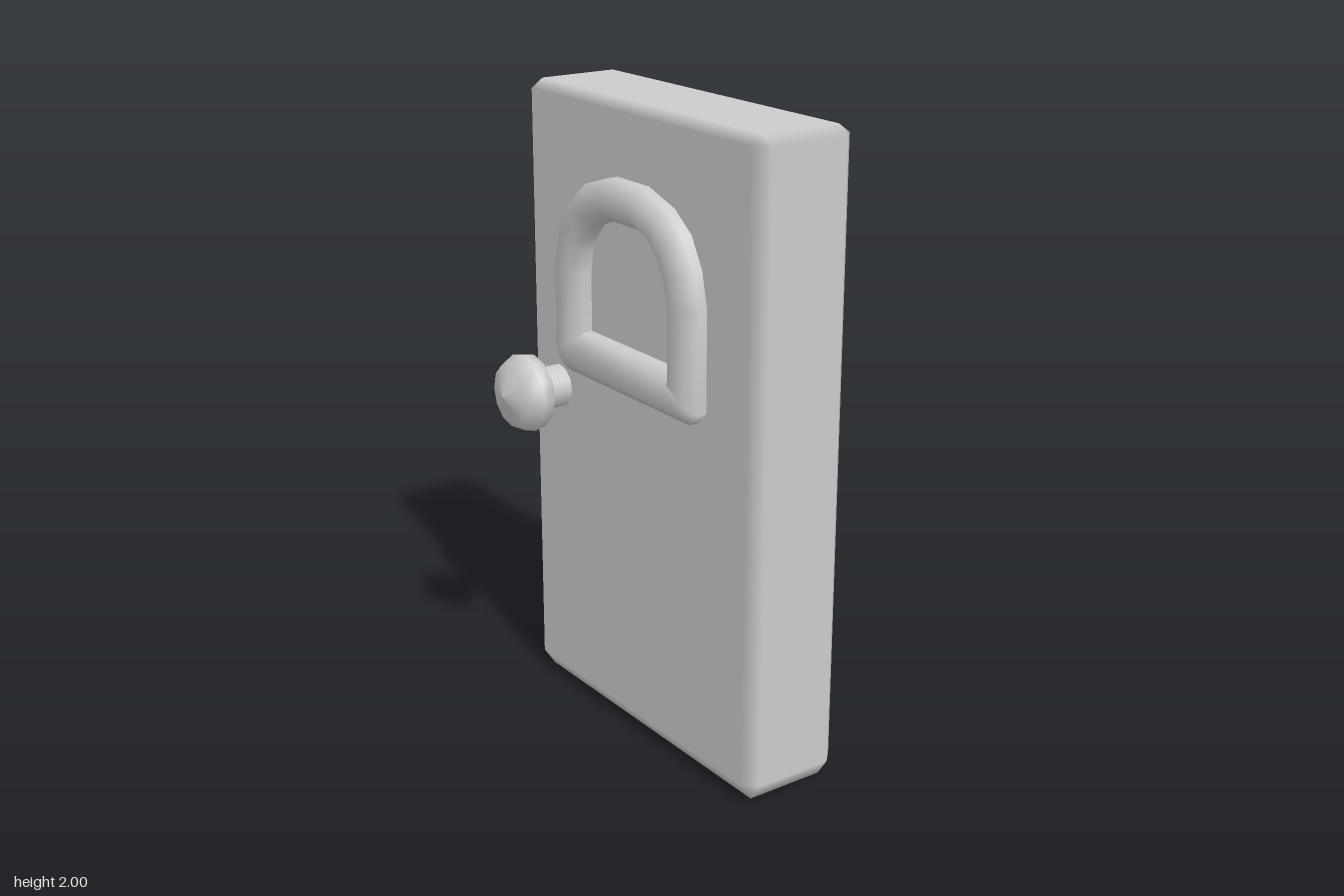
import * as THREE from 'three';

const material = new THREE.MeshStandardMaterial({ color: 0xcccccc });

// Skins rings of [x, y, z] points; wrap joins the last ring to the first, otherwise the ends are capped.
function loft(rings, wrap) {
  const n = rings[0].length, m = rings.length, index = [];
  for (let j = 0; j < (wrap ? m : m - 1); j++) {
    for (let i = 0; i < n; i++) {
      const a = j * n + i, b = j * n + (i + 1) % n;
      const d = ((j + 1) % m) * n + i, c = ((j + 1) % m) * n + (i + 1) % n;
      index.push(a, b, d, b, c, d);
    }
  }
  if (!wrap) {
    const last = (m - 1) * n;
    for (let i = 1; i < n - 1; i++) {
      index.push(0, i + 1, i, last, last + i, last + i + 1);
    }
  }
  const geometry = new THREE.BufferGeometry();
  geometry.setAttribute('position', new THREE.Float32BufferAttribute(rings.flat(2), 3));
  geometry.setIndex(index);
  geometry.computeVertexNormals();
  return geometry;
}

function addMesh(group, name, geometry) {
  const mesh = new THREE.Mesh(geometry, material);
  mesh.name = name;
  group.add(mesh);
  return mesh;
}

// Chamfered slab: each corner belongs to one main face and takes that face's normal.
function slabGeometry() {
  const hx = 0.585, hz = 0.17, zc = -0.075, bevel = 0.04;
  const rings = [], normals = [];
  const corners = [[1, 1], [1, -1], [-1, -1], [-1, 1]];
  for (const [y, ny] of [[0, -1], [0.06, 0], [1.972, 0], [2, 1]]) {
    const ring = [];
    corners.forEach(([sx, sz], k) => {
      const onX = [sx * (ny ? hx - bevel : hx), y, zc + sz * (hz - bevel)];
      const onZ = [sx * (hx - bevel), y, zc + sz * (ny ? hz - bevel : hz)];
      const nX = ny ? [0, ny, 0] : [sx, 0, 0], nZ = ny ? [0, ny, 0] : [0, 0, sz];
      ring.push(...(k % 2 ? [onX, onZ] : [onZ, onX]));
      normals.push(...(k % 2 ? [nX, nZ] : [nZ, nX]));
    });
    rings.push(ring);
  }
  const geometry = loft(rings, false);
  geometry.setAttribute('normal', new THREE.Float32BufferAttribute(normals.flat(), 3));
  return geometry;
}

// Arched window surround that passes through the slab, bevelled on both sides.
function frameGeometry() {
  // Right half, bottom to top: outer x, y and inner x, y
  const half = [
    [0.32, 1.135, 0.225, 1.275], [0.36, 1.175, 0.225, 1.275],
    [0.36, 1.48, 0.225, 1.46], [0.335, 1.59, 0.212, 1.53],
    [0.285, 1.68, 0.187, 1.58], [0.205, 1.74, 0.147, 1.625], [0.08, 1.78, 0.07, 1.655],
  ];
  const left = half.map(([a, b, c, d]) => [-a, b, -c, d]).reverse();
  const outline = [...half, ...left];
  // Cross-section: share of the way from outer to inner edge, and depth
  const section = [
    [0, -0.275], [0, 0.125], [0.25, 0.16], [0.75, 0.16],
    [1, 0.125], [1, -0.275], [0.75, -0.31], [0.25, -0.31],
  ];
  return loft(section.map(([t, z]) => outline.map(([ox, oy, ix, iy]) =>
    [ox + (ix - ox) * t, oy + (iy - oy) * t, z])), true);
}

export function createModel() {
  const group = new THREE.Group();
  group.name = 'door';

  addMesh(group, 'doorSlab', slabGeometry());
  addMesh(group, 'windowFrame', frameGeometry());

  // Knob and its stem, turned to point forwards
  const handle = new THREE.Group();
  handle.name = 'doorHandle';
  handle.position.set(-0.412, 1.05, 0);
  handle.rotation.x = Math.PI / 2;
  const stem = addMesh(handle, 'knobStem', new THREE.CylinderGeometry(0.068, 0.068, 0.09, 12, 1, true));
  stem.position.y = 0.117;
  const profile = [[0.068, 0.16], [0.117, 0.19], [0.126, 0.23], [0.1, 0.28], [0, 0.31]];
  addMesh(handle, 'knob', new THREE.LatheGeometry(profile.map(([r, y]) => new THREE.Vector2(r, y)), 12));
  group.add(handle);

  return group;
}
